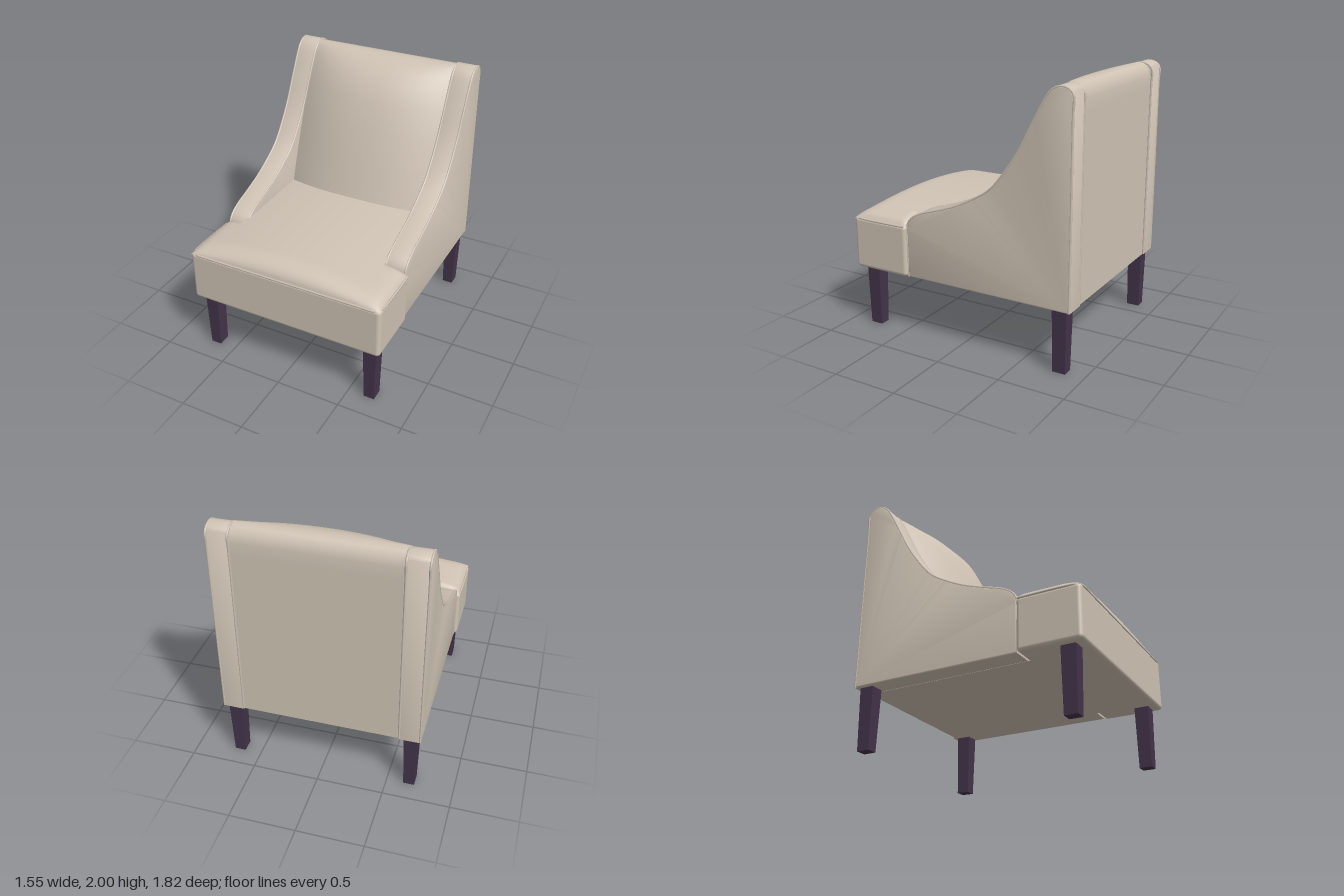
import * as THREE from 'three';
import { RoundedBoxGeometry } from 'three/addons/geometries/RoundedBoxGeometry.js';
import { toCreasedNormals } from 'three/addons/utils/BufferGeometryUtils.js';

const BASE = 0.47; // underside of the upholstery

// Smooth grid of points; fn(i, j) returns [x, y, z]
function surface(nu, nv, fn) {
  const pos = [], index = [];
  for (let i = 0; i <= nu; i++) for (let j = 0; j <= nv; j++) pos.push(...fn(i, j));
  for (let i = 0; i < nu; i++) for (let j = 0; j < nv; j++) {
    const a = i * (nv + 1) + j, b = a + nv + 1;
    index.push(a, b, b + 1, a, b + 1, a + 1);
  }
  const g = new THREE.BufferGeometry();
  g.setAttribute('position', new THREE.Float32BufferAttribute(pos, 3));
  g.setIndex(index);
  g.computeVertexNormals();
  return g;
}

const ramp = (d, w) => { // quarter-round rise over width w
  const t = THREE.MathUtils.clamp(d / w, 0, 1);
  return Math.sqrt(1 - (1 - t) * (1 - t));
};

export function createModel() {
  const group = new THREE.Group();
  const fabric = new THREE.MeshStandardMaterial({ color: 0xcfc3b4 });
  fabric.name = 'beige fabric';
  const wood = new THREE.MeshStandardMaterial({ color: 0x43344a });
  wood.name = 'dark wood';
  const add = (name, geo, mat = fabric, x = 0, y = 0, z = 0) => {
    const m = new THREE.Mesh(geo, mat);
    m.name = name;
    m.position.set(x, y, z);
    group.add(m);
    return m;
  };
  const piping = (name, pts, closed = false, x = 0) => add(name, new THREE.TubeGeometry(
    new THREE.CatmullRomCurve3(pts, closed, 'centripetal'), 120, 0.009, 6, closed), fabric, x);

  // Swooping side arms, profile as [z, y]
  const sweep = [[0.43, 0.84], [0.415, 0.9], [0.37, 0.95], [0.29, 0.99], [0.15, 1.035], [0, 1.09],
    [-0.15, 1.165], [-0.28, 1.25], [-0.4, 1.39], [-0.5, 1.54], [-0.6, 1.73], [-0.68, 1.88],
    [-0.73, 1.955], [-0.78, 1.99], [-0.83, 1.995], [-0.88, 1.975], [-0.9, 1.94]];
  const outline = new THREE.Shape();
  outline.moveTo(-0.43, BASE);
  outline.lineTo(-0.43, 0.84);
  outline.splineThru(sweep.slice(1).map(([z, y]) => new THREE.Vector2(-z, y)));
  outline.lineTo(0.9, BASE);
  outline.closePath();
  const armGeo = toCreasedNormals(new THREE.ExtrudeGeometry(outline, {
    depth: 0.13, curveSegments: 48, bevelThickness: 0.018, bevelSize: 0.014,
    bevelOffset: -0.014, bevelSegments: 3,
  }).translate(0, 0, -0.065).rotateY(Math.PI / 2), 0.6);
  const seam = [[0.428, BASE + 0.01], [0.428, 0.65], ...sweep, [-0.896, 1.85], [-0.896, 1.2], [-0.896, BASE + 0.01]]
    .map(([z, y]) => new THREE.Vector3(0, y - 0.006, z));
  for (const s of [1, -1]) {
    const side = s > 0 ? 'left' : 'right';
    add(side + 'Arm', armGeo, fabric, s * 0.664);
    piping(side + 'ArmInnerPiping', seam, false, s * 0.588);
    piping(side + 'ArmOuterPiping', seam, false, s * 0.74);
  }

  // Backrest: [z, y, how far the sides sit behind the middle]
  const back = [[-0.15, 0.88, 0.13], [-0.18, 0.98, 0.13], [-0.22, 1.1, 0.13], [-0.26, 1.24, 0.14],
    [-0.345, 1.5, 0.15], [-0.43, 1.7, 0.16], [-0.5, 1.83, 0.16], [-0.59, 1.92, 0.13],
    [-0.66, 1.965, 0.09], [-0.73, 1.99, 0.04], [-0.79, 1.997, 0], [-0.84, 1.985, 0],
    [-0.875, 1.95, 0], [-0.888, 1.89, 0], [-0.89, 1.8, 0], [-0.89, 1.1, 0], [-0.89, BASE, 0]];
  add('backrest', surface(20, back.length - 1, (i, j) => {
    const t = i / 10 - 1, [z, y, sag] = back[j];
    return [t * 0.59, y, z - sag * Math.abs(t) ** 2.2];
  }));

  // Seat frame and T-shaped front
  add('seatBase', new THREE.BoxGeometry(1.18, 0.4, 1.34), fabric, 0, BASE + 0.2, -0.21);
  add('seatFront', new RoundedBoxGeometry(1.54, 0.4, 0.475, 4, 0.03), fabric, 0, BASE + 0.2, 0.667);

  // Crowned seat top
  const crown = (x, z, backRamp) => 0.862 + ramp(0.902 - z, 0.16) * backRamp *
    (0.045 * ramp(0.765 - Math.abs(x), 0.1) + 0.075 * (1 - (x / 0.765) ** 2));
  add('seatTop', surface(24, 40, (i, j) => {
    const x = (i / 12 - 1) * 0.6;
    const z = 0.902 - 1.25 * (j / 40) ** 1.5;
    return [x, crown(x, z, 1), z];
  }));
  for (const s of [1, -1]) {
    add(s > 0 ? 'leftSeatWing' : 'rightSeatWing', surface(10, 20, (i, j) => {
      const u = s > 0 ? i / 10 : 1 - i / 10;
      const x = s * (0.58 + 0.185 * u);
      const z = 0.902 - 0.472 * (0.5 - 0.5 * Math.cos(Math.PI * j / 20));
      // rear edge rolls down beside the arm
      return [x, crown(x, z, ramp(z - 0.43, 0.05)), z];
    }));
  }

  // Piping round the front of the seat
  const rim = [[0.765, 0.44], [0.768, 0.6], [0.766, 0.8], [0.757, 0.865], [0.72, 0.897], [0.6, 0.9]];
  const mirrored = rim.map(([x, z]) => [-x, z]).reverse();
  piping('seatPiping', [...rim, [0, 0.9], ...mirrored].map(([x, z]) => new THREE.Vector3(x, 0.862, z)));

  // Tapered square legs
  const legGeo = new THREE.BoxGeometry(0.104, BASE + 0.01, 0.11);
  const p = legGeo.attributes.position;
  for (let i = 0; i < p.count; i++) {
    if (p.getY(i) < 0) p.setXYZ(i, p.getX(i) * 0.79, p.getY(i), p.getZ(i) * 0.88);
  }
  legGeo.computeVertexNormals();
  for (const s of [1, -1]) {
    const side = s > 0 ? 'Left' : 'Right';
    add('front' + side + 'Leg', legGeo, wood, s * 0.668, (BASE + 0.01) / 2, 0.783);
    add('back' + side + 'Leg', legGeo, wood, s * 0.668, (BASE + 0.01) / 2, -0.812);
  }
  return group;
}
